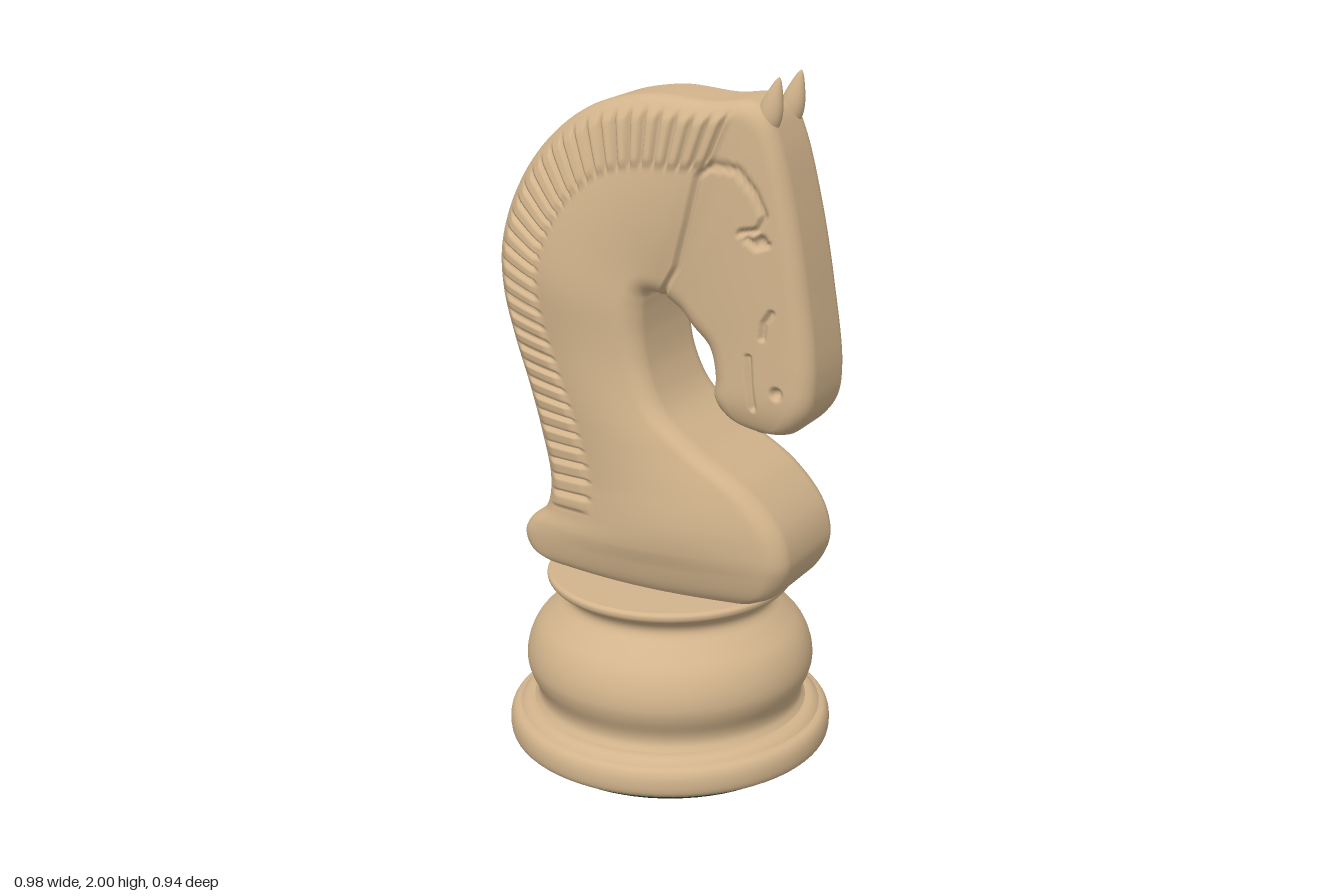
import * as THREE from 'three';

const wood = new THREE.MeshStandardMaterial({ color: 0xd2b48c });
const felt = new THREE.MeshStandardMaterial({ color: 0x1a3326 });

// Paired outline points: back of neck / crest / face, and chest / throat / jaw
const OUTER = [[-.33, .53], [-.41, .56], [-.43, .61], [-.41, .65], [-.355, .7], [-.34, .79], [-.37, .94],
  [-.41, 1.08], [-.45, 1.2], [-.485, 1.34], [-.487, 1.47], [-.445, 1.61], [-.35, 1.76], [-.2, 1.88],
  [-.015, 1.93], [.17, 1.925], [.285, 1.935], [.335, 1.91], [.37, 1.84], [.42, 1.655], [.46, 1.445],
  [.49, 1.2], [.475, 1.1], [.42, 1.035], [.36, 1.025]];
const INNER = [[.33, .53], [.4, .57], [.44, .64], [.445, .69], [.42, .77], [.33, .87], [.17, .97],
  [.06, 1.06], [.01, 1.16], [-.01, 1.26], [-.013, 1.33], [-.012, 1.36], [-.01, 1.38], [-.003, 1.39],
  [.006, 1.39], [.02, 1.385], [.04, 1.375], [.06, 1.36], [.085, 1.34], [.12, 1.3], [.17, 1.25],
  [.19, 1.17], [.187, 1.11], [.22, 1.06], [.3, 1.03]];
// Half thickness at the outer edge, the middle and the inner edge
const WIDTHS = [[.13, .17, .14], [.13, .21, .17], [.13, .23, .175], [.13, .205, .18], [.13, .2, .17],
  [.13, .215, .17], [.13, .2, .165], [.125, .17, .15], [.115, .135, .13], [.115, .13, .12],
  [.12, .13, .12], [.125, .13, .12], [.08, .085, .08]];
// Carved lines on both sides: cheek, forelock, eyelid, nose and mouth
const CARVINGS = [
  [[.16, 1.735], [.127, 1.6], [.09, 1.47], [.04, 1.385]],
  [[.16, 1.735], [.2, 1.765], [.27, 1.755], [.32, 1.7], [.35, 1.64], [.33, 1.6], [.28, 1.59]],
  [[.3, 1.575], [.33, 1.555], [.36, 1.565]],
  [[.31, 1.25], [.315, 1.18], [.325, 1.11]],
  [[.375, 1.38], [.355, 1.35], [.35, 1.31]]];
const PITS = [[.34, 1.57, .025], [.395, 1.16, .022]];

const spline = (pts, type) => new THREE.CatmullRomCurve3(
  pts.map(p => new THREE.Vector3(p[0], p[1], p[2] || 0)), false, type);
const step = THREE.MathUtils.smoothstep;

function segmentDistance(x, y, a, b) {
  const dx = b[0] - a[0], dy = b[1] - a[1];
  const k = THREE.MathUtils.clamp(((x - a[0]) * dx + (y - a[1]) * dy) / (dx * dx + dy * dy), 0, 1);
  return Math.hypot(x - a[0] - k * dx, y - a[1] - k * dy);
}

// Depth of the carved lines and pits at a point of the side
function carving(x, y) {
  let depth = 0;
  for (const line of CARVINGS)
    for (let i = 1; i < line.length; i++)
      depth = Math.max(depth, .014 * (1 - step(segmentDistance(x, y, line[i - 1], line[i]), .002, .013)));
  for (const [px, py, r] of PITS)
    depth = Math.max(depth, .02 * (1 - step(Math.hypot(x - px, y - py), r * .3, r)));
  return depth;
}

// Mane: a raised band with evenly spaced notches
function mane(arc, t, d) {
  const along = step(t, 4.1, 4.4) * (1 - step(t, 15.6, 15.9));
  const band = step(d, .03, .06) * (1 - step(d, .165, .19));
  const phase = Math.abs(((arc / .05) % 1) - .5);
  const notch = 1 - step(phase, .04, .2);
  return along * band * (.01 - .02 * notch);
}

function horseGeometry() {
  const outer = spline(OUTER, 'centripetal'), inner = spline(INNER, 'centripetal');
  const widths = spline(WIDTHS, 'catmullrom');
  outer.arcLengthDivisions = 1000;
  const length = outer.getLength();
  const ROWS = 500, MID = 40, ARC = 6, spans = OUTER.length - 1;
  const ring = 2 * (MID + 2 * ARC + 1);
  const pos = [], index = [];
  for (let i = 0; i <= ROWS; i++) {
    const u = outer.getUtoTmapping(i / ROWS);
    const a = outer.getPoint(u), b = inner.getPoint(u), w = widths.getPoint(u);
    const L = a.distanceTo(b), r = Math.min(.05, L * .45);
    const side = [];
    // One side: rounded edge, broad face, rounded edge
    for (let j = 0; j <= MID + 2 * ARC; j++) {
      let d, drop = 0;
      const corner = j < ARC ? j : j > MID + ARC ? MID + 2 * ARC - j : -1;
      if (corner >= 0) {
        const ang = corner / ARC * Math.PI / 2;
        d = r * (1 - Math.cos(ang));
        drop = r * (1 - Math.sin(ang));
        if (j > ARC) d = L - d;
      } else d = r + (L - 2 * r) * (j - ARC) / MID;
      const s = d / L;
      const x = a.x + (b.x - a.x) * s, y = a.y + (b.y - a.y) * s;
      const bulge = (w.y - (w.x + w.z) / 2) * Math.sin(Math.PI * s);
      const z = w.x + (w.z - w.x) * s + bulge - drop
        + mane(i / ROWS * length, u * spans, d) - carving(x, y);
      side.push([x, y, z]);
    }
    for (const p of side) pos.push(p[0], p[1], p[2]);
    for (const p of side.reverse()) pos.push(p[0], p[1], -p[2]);
  }
  for (let i = 0; i < ROWS; i++)
    for (let j = 0; j < ring; j++) {
      const k = (j + 1) % ring, p = i * ring, q = p + ring;
      index.push(p + j, p + k, q + j, p + k, q + k, q + j);
    }
  // Close both ends with strips between the two sides
  const last = ROWS * ring;
  for (let j = 0; j < ring / 2 - 1; j++) {
    const m = ring - 1 - j;
    index.push(j, m, j + 1, j + 1, m, m - 1);
    index.push(last + j, last + j + 1, last + m, last + j + 1, last + m - 1, last + m);
  }
  const g = new THREE.BufferGeometry();
  g.setAttribute('position', new THREE.Float32BufferAttribute(pos, 3));
  g.setIndex(index);
  g.computeVertexNormals();
  return g;
}

export function createModel() {
  const group = new THREE.Group();
  const add = (name, geometry, material = wood) => {
    const mesh = new THREE.Mesh(geometry, material);
    mesh.name = name;
    group.add(mesh);
    return mesh;
  };
  const lathe = (pts, smooth, sides = 72) => {
    let v = pts.map(p => new THREE.Vector2(p[0], p[1]));
    if (smooth) v = new THREE.SplineCurve(v).getPoints(smooth);
    return new THREE.LatheGeometry(v, sides);
  };

  // Turned base
  add('feltPad', new THREE.CylinderGeometry(.405, .405, .03, 72), felt).position.y = .015;
  add('footUnderside', lathe([[0, .026], [.445, .026]]));
  add('foot', lathe([[.445, .026], [.465, .04], [.471, .065], [.468, .095], [.455, .115], [.43, .122]], 20));
  add('footBead', lathe([[.44, .12], [.43, .13], [.415, .138], [.39, .14]], 10));
  add('bulge', lathe([[.4, .138], [.387, .16], [.39, .19], [.41, .235], [.418, .275], [.41, .325],
    [.385, .375], [.34, .42], [.31, .448], [.304, .47], [.318, .492], [.35, .512]], 48));
  add('rim', lathe([[.35, .512], [.355, .52], [.355, .532], [.345, .539]], 10));
  add('baseTop', lathe([[.346, .539], [0, .539]]));

  add('horse', horseGeometry());

  // Ears
  const ear = lathe([[.03, 0], [.034, .03], [.03, .065], [.018, .105], [.007, .132], [0, .14]], 16, 24);
  for (const side of [1, -1]) {
    const mesh = add(side > 0 ? 'leftEar' : 'rightEar', ear);
    mesh.position.set(.325, 1.865, side * .066);
    mesh.rotation.z = -.25;
    mesh.scale.z = .85;
  }
  return group;
}
